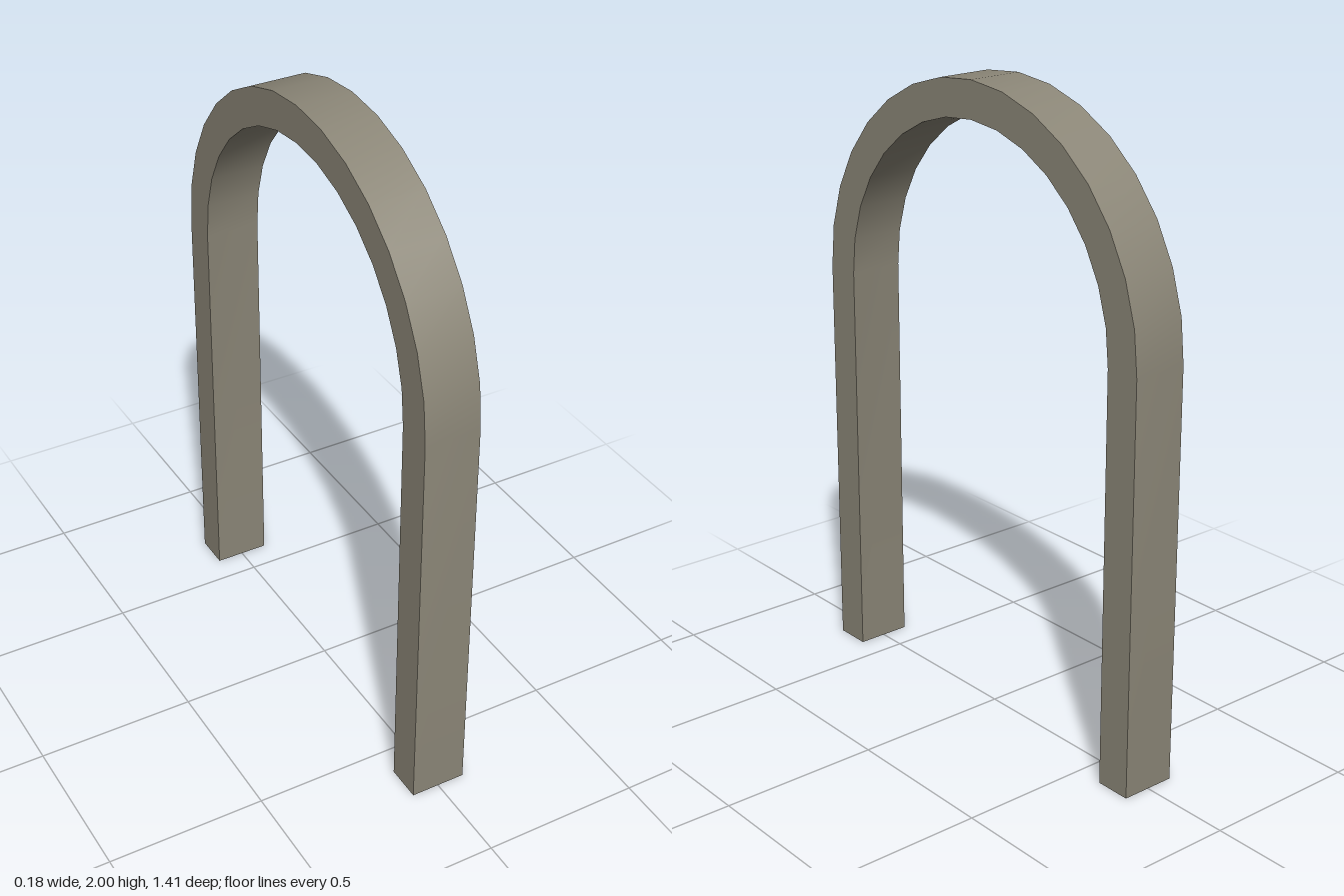
import * as THREE from 'three';
import { toCreasedNormals } from 'three/addons/utils/BufferGeometryUtils.js';

export function createModel() {
  const group = new THREE.Group();
  group.name = 'archway';

  const stone = new THREE.MeshStandardMaterial({ color: 0x8c8778 });
  stone.name = 'warm grey stone';

  const outer = 0.705, inner = 0.59; // radii of the round top
  const spring = 1.295;              // height where the legs meet the curve
  const width = 0.176;

  // Arch outline: up one leg, over the top, down the other, back along the inside
  const outline = new THREE.Shape();
  outline.moveTo(inner, 0);
  outline.lineTo(outer, 0);
  outline.lineTo(outer, spring);
  outline.absarc(0, spring, outer, 0, Math.PI, false);
  outline.lineTo(-outer, 0);
  outline.lineTo(-inner, 0);
  outline.lineTo(-inner, spring);
  outline.absarc(0, spring, inner, Math.PI, 0, true);
  outline.closePath();

  // 16 segments around each half circle, smooth along the curve, sharp at the edges
  const solid = new THREE.ExtrudeGeometry(outline, { depth: width, bevelEnabled: false, curveSegments: 8 });
  solid.translate(0, 0, -width / 2);
  solid.rotateY(Math.PI / 2);

  const arch = new THREE.Mesh(toCreasedNormals(solid, 0.6), stone);
  arch.name = 'arch';
  group.add(arch);
  return group;
}
